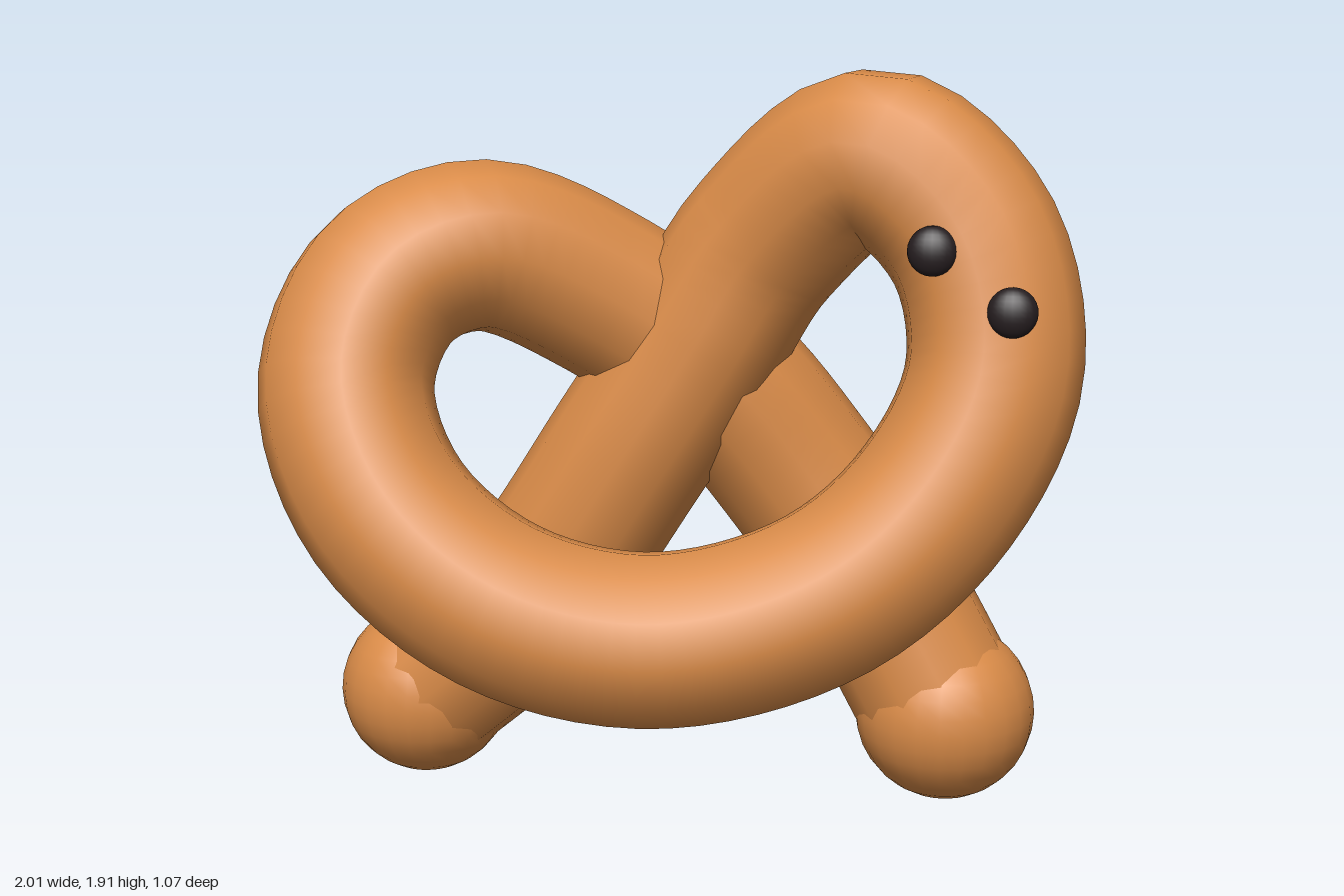
import * as THREE from 'three';

export function createModel() {
  const group = new THREE.Group();
  const dough = new THREE.MeshStandardMaterial({ color: 0xd98b48 });
  dough.name = 'baked dough';
  const dark = new THREE.MeshStandardMaterial({ color: 0x241c1e });
  dark.name = 'dark eye';

  const add = (name, geometry, material, position = [0, 0, 0]) => {
    const mesh = new THREE.Mesh(geometry, material);
    mesh.name = name;
    mesh.position.set(...position);
    group.add(mesh);
    return mesh;
  };

  // Centre line of the knotted rope, from its right foot to its left foot
  const path = [
    [-0.70, 0.25, -0.23],
    [-0.43, 0.50, -0.21],
    [-0.13, 0.95, -0.20],
    [0.04, 1.22, -0.21],
    [0.20, 1.48, -0.21],
    [0.48, 1.71, -0.12],
    [0.72, 1.53, -0.05],
    [0.79, 1.22, 0.04],
    [0.66, 0.92, 0.14],
    [0.40, 0.69, 0.23],
    [0.00, 0.58, 0.295],
    [-0.38, 0.66, 0.32],
    [-0.67, 0.88, 0.27],
    [-0.79, 1.16, 0.16],
    [-0.71, 1.39, 0.03],
    [-0.50, 1.47, -0.09],
    [-0.20, 1.33, -0.21],
    [0.08, 1.11, -0.28],
    [0.29, 0.85, -0.32],
    [0.50, 0.55, -0.31],
    [0.68, 0.24, -0.27],
  ];
  const curve = new THREE.CatmullRomCurve3(path.map((p) => new THREE.Vector3(...p)));
  add('twistedRope', new THREE.TubeGeometry(curve, 120, 0.217, 12, false), dough);

  // Rounded feet closing the rope ends
  add('rightFoot', new THREE.SphereGeometry(0.226, 24, 16), dough, path[0]);
  add('leftFoot', new THREE.SphereGeometry(0.234, 24, 16), dough, path[path.length - 1]);

  // Button eyes on the front of the left loop
  const eyes = [['rightEye', 0.64, 1.525, 0.155], ['leftEye', 0.833, 1.393, 0.21]];
  for (const [name, x, y, z] of eyes) {
    const eye = add(name, new THREE.SphereGeometry(0.06, 20, 14), dark, [x, y, z]);
    eye.scale.z = 0.55;
    eye.rotation.x = -0.2;
  }
  return group;
}
